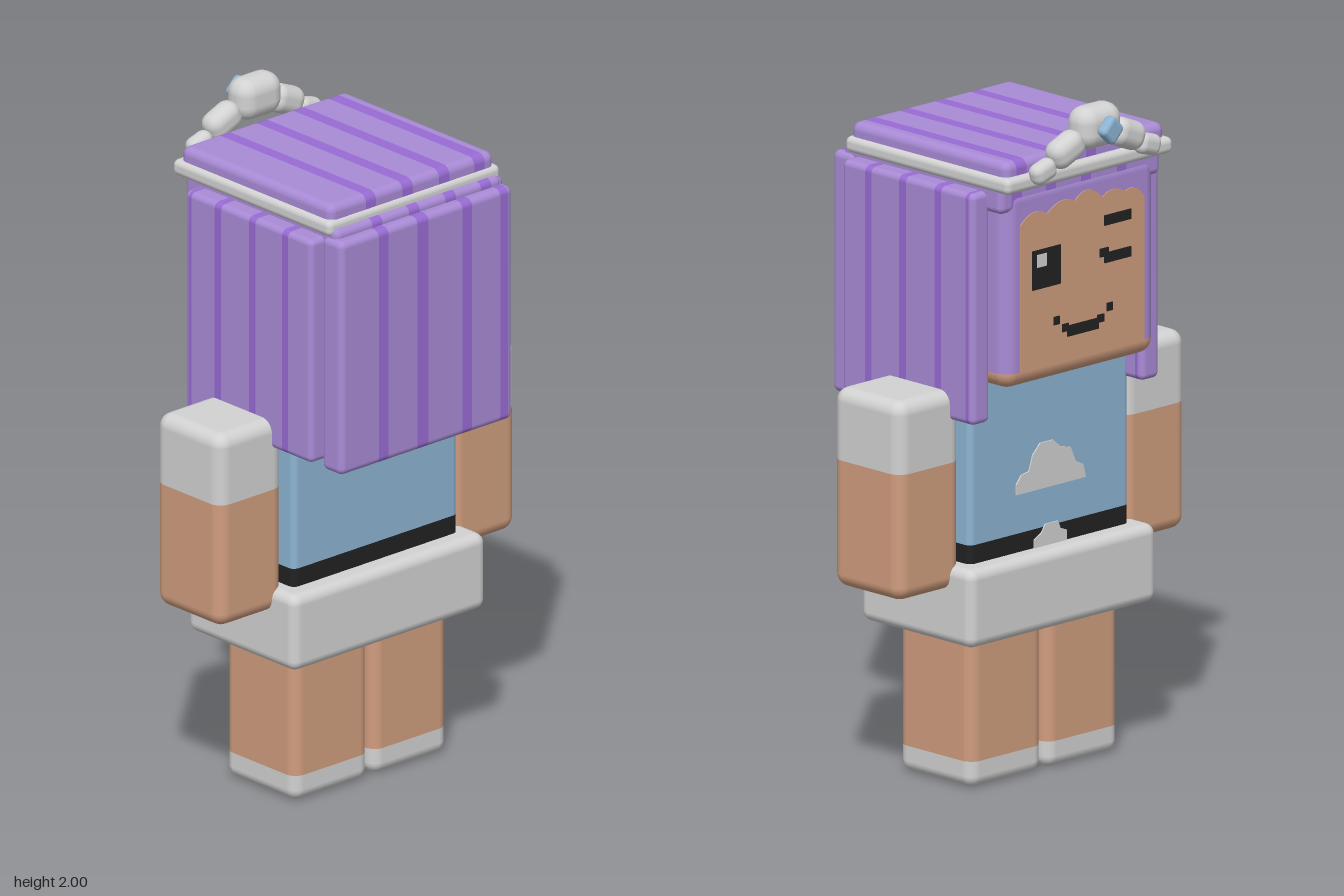
import * as THREE from 'three';

const material = (name, color) => Object.assign(new THREE.MeshStandardMaterial({ color }), { name });
const white = material('white', 0xd2d2d2);
const skin = material('skin', 0xd09d7e);
const hair = material('hair', 0xa98bd6);
const hairDark = material('hair streak', 0x986bd4);
const blue = material('blue', 0x8db5d3);
const black = material('black', 0x222222);

// Grid lines along one axis: rounded ends plus the given colour cuts
function gridLines(lo, hi, r, cuts) {
  const inside = cuts.filter((c) => c > lo + r && c < hi - r).sort((a, b) => a - b);
  const steps = [0, 0.35, 0.7, 1];
  return [...steps.map((s) => lo + s * r), ...inside, ...steps.reverse().map((s) => hi - s * r)];
}

// Rounded block between two corners. paint(x, y, z) gives the material index.
function block(name, [x0, x1], [y0, y1], [z0, z1], r, mats, cuts = {}, paint = () => 0) {
  const lo = [x0, y0, z0], hi = [x1, y1, z1];
  const lines = ['x', 'y', 'z'].map((a, i) => gridLines(lo[i], hi[i], r, cuts[a] || []));
  const n = lines.map((l) => l.length - 1);
  const geo = new THREE.BoxGeometry(1, 1, 1, ...n);
  const pos = geo.attributes.position, nor = geo.attributes.normal;
  const flat = [];
  for (let v = 0; v < pos.count; v++) {
    const p = [0, 1, 2].map((i) => lines[i][Math.round((pos.getComponent(v, i) + 0.5) * n[i])]);
    const core = p.map((c, i) => THREE.MathUtils.clamp(c, lo[i] + r, hi[i] - r));
    const dir = new THREE.Vector3(...p.map((c, i) => c - core[i])).normalize();
    flat.push(p);
    pos.setXYZ(v, core[0] + dir.x * r, core[1] + dir.y * r, core[2] + dir.z * r);
    nor.setXYZ(v, dir.x, dir.y, dir.z);
  }
  // Sort the triangles into one group per material
  const lists = mats.map(() => []);
  const index = geo.index.array;
  for (let t = 0; t < index.length; t += 3) {
    const tri = [index[t], index[t + 1], index[t + 2]];
    const mid = [0, 1, 2].map((i) => {
      const c = tri.map((v) => flat[v][i]);
      return (Math.min(...c) + Math.max(...c)) / 2;
    });
    lists[paint(...mid)].push(...tri);
  }
  geo.setIndex(lists.flat());
  geo.clearGroups();
  let start = 0;
  lists.forEach((l, i) => { geo.addGroup(start, l.length, i); start += l.length; });
  const mesh = new THREE.Mesh(geo, mats.length > 1 ? mats : mats[0]);
  mesh.name = name;
  return mesh;
}

// Rounded block with streaks running across the chosen axis
function streaked(name, xs, ys, zs, r, axis, bands) {
  return block(name, xs, ys, zs, r, [hair, hairDark], { [axis]: bands.flat() }, (x, y, z) => {
    const c = axis === 'x' ? x : z;
    return bands.some(([a, b]) => c > a && c < b) ? 1 : 0;
  });
}

// Thin plate lying on a surface that faces -z
function plate(name, shape, z, mat) {
  const geo = new THREE.ExtrudeGeometry(shape, { depth: 0.005, bevelEnabled: false, curveSegments: 10 });
  const mesh = new THREE.Mesh(geo, mat);
  mesh.position.z = z - 0.005;
  mesh.name = name;
  return mesh;
}
const polygon = (pts) => new THREE.Shape(pts.map(([x, y]) => new THREE.Vector2(x, y)));
const rect = (x0, x1, y0, y1) => polygon([[x0, y0], [x1, y0], [x1, y1], [x0, y1]]);

export function createModel() {
  const model = new THREE.Group();
  model.name = 'block figure';
  const add = (...m) => model.add(...m);

  // Legs with white soles, and arms with white sleeves
  for (const [side, s] of [['left', 1], ['right', -1]]) {
    const span = (a, b) => (s > 0 ? [a, b] : [-b, -a]);
    add(block(side + 'Leg', span(0.008, 0.295), [0, 0.5], [-0.128, 0.167], 0.035,
      [skin, white], { y: [0.08] }, (x, y) => (y < 0.08 ? 1 : 0)));
    add(block(side + 'Arm', span(0.324, 0.571), [0.6, 1.185], [-0.12, 0.155], 0.04,
      [skin, white], { y: [0.975] }, (x, y) => (y > 0.975 ? 1 : 0)));
    add(streaked(side + 'HairPanel', span(0.3, 0.371), [1.1, 1.78], [-0.213, 0.318], 0.018, 'z',
      [[0.197, 0.222], [0.058, 0.085], [-0.085, -0.058], [-0.195, -0.183]]));
  }

  // Skirt, and torso with a belt
  add(block('skirt', [-0.371, 0.371], [0.44, 0.67], [-0.205, 0.247], 0.03, [white]));
  add(block('torso', [-0.316, 0.316], [0.5, 1.22], [-0.145, 0.185], 0.02,
    [blue, black], { y: [0.725] }, (x, y) => (y < 0.725 ? 1 : 0)));

  // Cloud motifs on the torso
  const cloud = polygon([[0.135, 0.84], [0.135, 0.87], [0.115, 0.895], [0.085, 0.9], [0.07, 0.945],
    [0.04, 0.975], [-0.01, 0.975], [-0.04, 0.95], [-0.08, 0.94], [-0.1, 0.895], [-0.13, 0.88], [-0.14, 0.84]]);
  add(plate('cloud', cloud, -0.144, white));
  add(plate('lowerCloud', polygon([[0.065, 0.66], [0.065, 0.695], [0.035, 0.71], [0.02, 0.733],
    [-0.03, 0.733], [-0.04, 0.71], [-0.065, 0.7], [-0.065, 0.66]]), -0.144, white));

  // Head: hair colour above, skin at the chin
  add(block('head', [-0.3, 0.3], [1.2, 1.79], [-0.275, 0.34], 0.045,
    [hair, skin], { y: [1.247] }, (x, y) => (y < 1.247 ? 1 : 0)));

  // Face with a scalloped hairline
  const face = new THREE.Shape();
  face.moveTo(-0.245, 1.245);
  face.lineTo(0.245, 1.245);
  face.lineTo(0.245, 1.68);
  for (const [mx, my, x, y] of [[0.19, 1.73, 0.14, 1.695], [0.08, 1.74, 0.03, 1.71],
    [-0.02, 1.76, -0.08, 1.7], [-0.12, 1.73, -0.17, 1.7], [-0.21, 1.72, -0.245, 1.67]]) {
    face.quadraticCurveTo(mx, my, x, y);
  }
  add(plate('face', face, -0.273, skin));
  const mark = (name, ...box) => add(plate(name, rect(...box), -0.277, black));
  mark('openEye', 0.09, 0.2, 1.48, 1.595);
  add(plate('eyeGlint', rect(0.148, 0.185, 1.545, 1.582), -0.28, white));
  mark('winkBrow', -0.19, -0.085, 1.615, 1.645);
  mark('winkLid', -0.19, -0.085, 1.505, 1.535);
  mark('winkLidEnd', -0.1, -0.067, 1.525, 1.55);
  mark('mouth', -0.062, 0.062, 1.318, 1.35);
  for (const s of [-1, 1]) {
    mark('mouthCorner', s * 0.07 - 0.012, s * 0.07 + 0.012, 1.335, 1.358);
    mark('dimple', s * 0.105 - 0.011, s * 0.105 + 0.011, 1.362, 1.386);
  }

  // Hair: long back panel, under layer and flat cap
  add(streaked('backHair', [-0.33, 0.33], [1.075, 1.785], [0.315, 0.4], 0.02, 'x',
    [[-0.185, -0.148], [-0.037, 0.005], [0.135, 0.172], [0.28, 0.309]]));
  const topBands = [[-0.18, -0.142], [-0.04, 0], [0.1, 0.14], [0.235, 0.275]];
  add(streaked('underHair', [-0.318, 0.318], [1.72, 1.81], [-0.272, 0.368], 0.02, 'x', topBands));
  add(streaked('hairCap', [-0.316, 0.316], [1.79, 1.877], [-0.291, 0.34], 0.025, 'x', topBands));
  add(block('headband', [-0.33, 0.33], [1.787, 1.835], [-0.312, 0.35], 0.018, [white]));

  // Crest of beads on the headband: x, y, z, width, height, depth, tilt
  for (const [x, y, z, w, h, d, tilt] of [[0, 1.937, -0.325, 0.16, 0.126, 0.102, 0],
    [0.12, 1.89, -0.33, 0.122, 0.085, 0.076, -0.4], [-0.12, 1.89, -0.33, 0.122, 0.085, 0.076, 0.4],
    [0.207, 1.842, -0.328, 0.085, 0.062, 0.052, -0.3], [-0.207, 1.842, -0.328, 0.085, 0.062, 0.052, 0.3]]) {
    const bead = block('crestBead', [-w / 2, w / 2], [-h / 2, h / 2], [-d / 2, d / 2], d * 0.46, [white]);
    bead.position.set(x, y, z);
    bead.rotation.z = tilt;
    add(bead);
  }
  const gem = block('crestGem', [-0.033, 0.033], [-0.033, 0.033], [-0.018, 0.018], 0.014, [blue]);
  gem.position.set(0, 1.935, -0.39);
  gem.rotation.z = Math.PI / 4;
  add(gem);

  return model;
}
